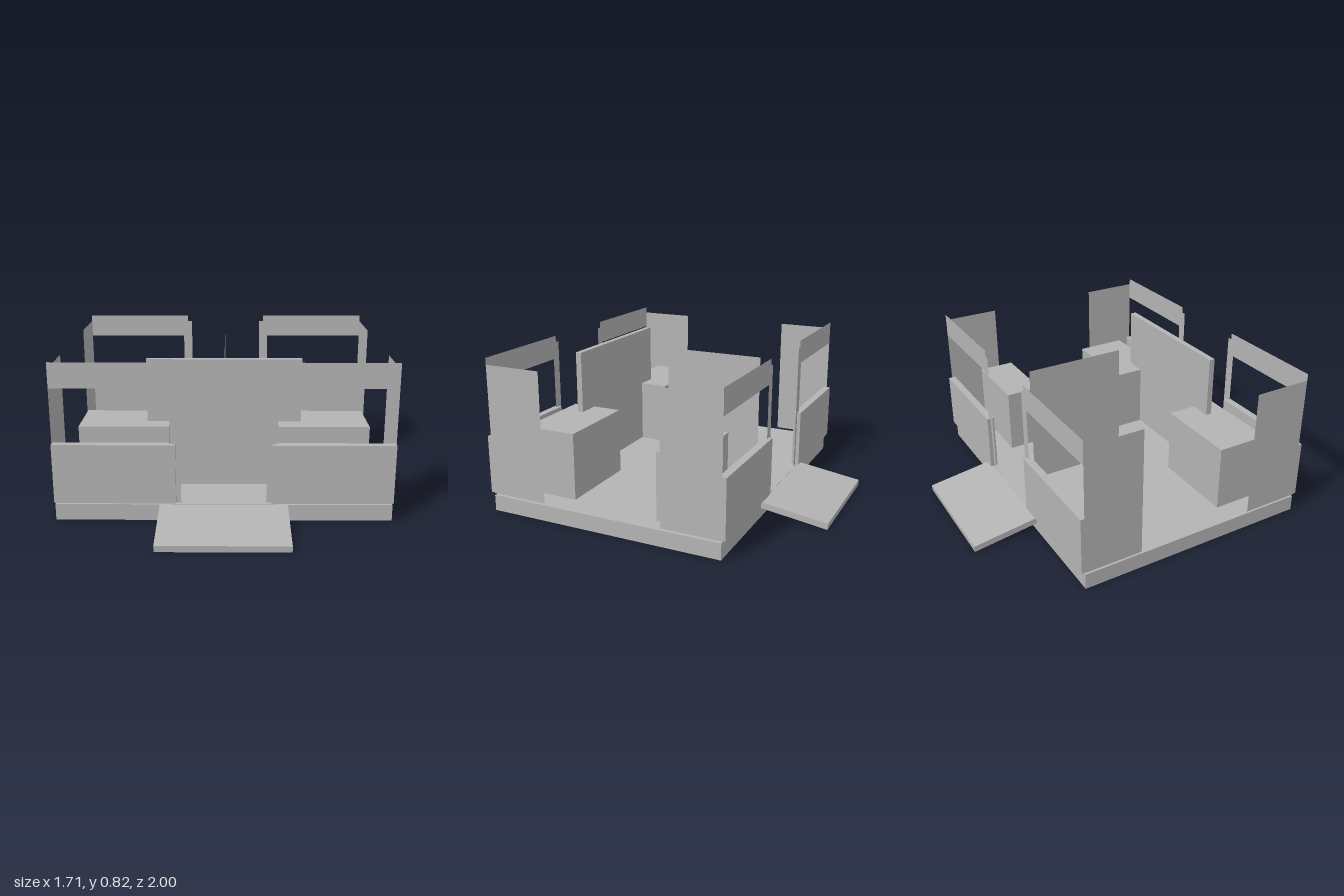
import * as THREE from 'three';

const grey = new THREE.MeshStandardMaterial({ color: 0xb4b4b4, side: THREE.DoubleSide });
grey.name = 'plain grey';

function add(parent, name, geometry) {
  const mesh = new THREE.Mesh(geometry, grey);
  mesh.name = name;
  parent.add(mesh);
  return mesh;
}

// Box given by its minimum and maximum on each axis
function block(parent, name, [x0, x1], [y0, y1], [z0, z1]) {
  const mesh = add(parent, name, new THREE.BoxGeometry(x1 - x0, y1 - y0, z1 - z0));
  mesh.position.set((x0 + x1) / 2, (y0 + y1) / 2, (z0 + z1) / 2);
}

// Thin upright sheet facing sideways
function sideSheet(parent, name, x, [y0, y1], [z0, z1]) {
  const mesh = add(parent, name, new THREE.PlaneGeometry(z1 - z0, y1 - y0));
  mesh.rotation.y = x < 0 ? -Math.PI / 2 : Math.PI / 2;
  mesh.position.set(x, (y0 + y1) / 2, (z0 + z1) / 2);
}

const polygon = (points) => new THREE.Shape(points.map(([x, y]) => new THREE.Vector2(x, y)));

// One entrance end: ramp, two low walls, post-and-beam frames, corner sheets
function buildEnd() {
  const end = new THREE.Group();
  const ramp = new THREE.ExtrudeGeometry(
    polygon([[0.645, 0.05], [0.998, 0], [1, 0.033], [0.645, 0.084]]),
    { depth: 0.65, bevelEnabled: false });
  ramp.translate(0, 0, -0.325).rotateY(-Math.PI / 2);
  add(end, 'ramp', ramp);

  for (const s of [-1, 1]) {
    const side = s > 0 ? 'left' : 'right';
    const xs = s > 0 ? [0.24, 0.855] : [-0.855, -0.24];
    block(end, side + 'LowWall', xs, [0.1, 0.41], [0.625, 0.665]);

    // Post and top beam around the open window
    const outline = [[0.215, 0.097], [0.267, 0.097], [0.267, 0.695], [0.855, 0.695],
      [0.855, 0.825], [0.24, 0.825], [0.24, 0.79], [0.215, 0.79]];
    const frame = new THREE.ShapeGeometry(polygon(outline.map(([x, y]) => [s * x, y])));
    add(end, side + 'WindowFrame', frame).position.z = 0.645;

    sideSheet(end, side + 'CornerSheet', s * 0.855, [0.097, 0.79], [0.33, 0.645]);
  }
  return end;
}

export function createModel() {
  const model = new THREE.Group();
  model.name = 'pavilion';

  block(model, 'floorSlab', [-0.855, 0.855], [0, 0.086], [-0.645, 0.645]);

  const front = buildEnd();
  front.name = 'frontEnd';
  const back = buildEnd();
  back.name = 'backEnd';
  back.rotation.y = Math.PI;
  model.add(front, back);

  // Interior partitions
  block(model, 'frontPartition', [-0.4, 0.4], [0.1, 0.785], [0.375, 0.407]);
  sideSheet(model, 'centrePartition', 0, [0.1, 0.765], [-0.5, 0.05]);

  // Counters
  block(model, 'leftFrontCounter', [0.28, 0.745], [0.097, 0.453], [0.215, 0.5]);
  block(model, 'rightFrontCounter', [-0.745, -0.282], [0.097, 0.453], [0.215, 0.5]);
  block(model, 'leftBackCounter', [0.375, 0.785], [0.097, 0.453], [-0.475, -0.275]);

  return model;
}
